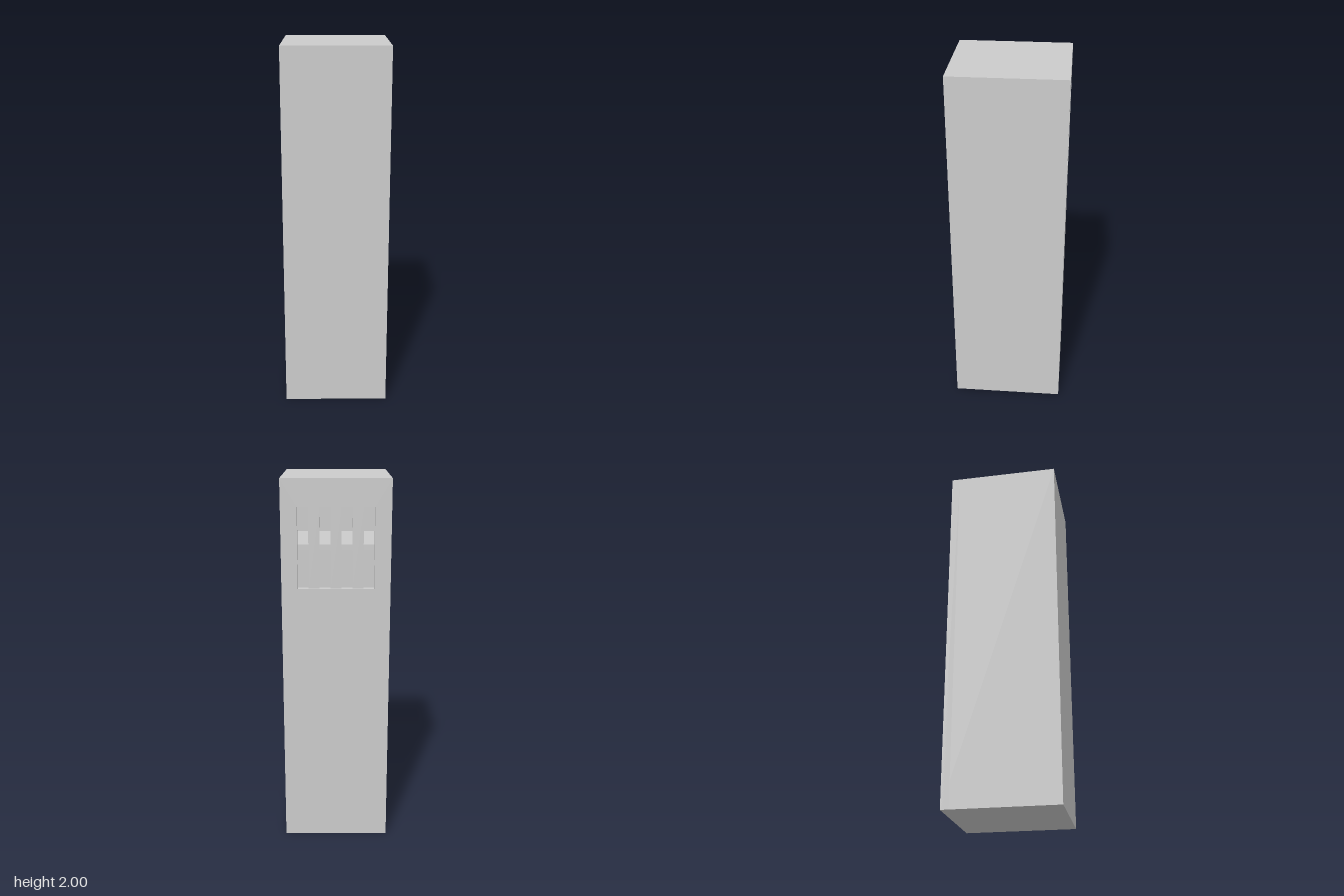
import * as THREE from 'three';

const W = 0.57, H = 2, D = 0.616; // outer size
const T = 0.045;                  // wall thickness
const WIN = { x: 0.2, y0: 1.432, y1: 1.858 };

const material = new THREE.MeshStandardMaterial({ color: 0xcccccc, flatShading: true });

function add(parent, name, geometry, x = 0, y = 0, z = 0) {
  const mesh = new THREE.Mesh(geometry, material);
  mesh.name = name;
  mesh.position.set(x, y, z);
  parent.add(mesh);
  return mesh;
}

// A box without its back (-z) face; inward turns the faces to the inside.
function openBox(w, h, d, inward) {
  const geometry = new THREE.BoxGeometry(w, h, d);
  const index = Array.from(geometry.index.array).slice(0, 30);
  geometry.clearGroups();
  geometry.setIndex(inward ? index.reverse() : index);
  geometry.computeVertexNormals();
  return geometry;
}

function rectangle(path, x0, y0, x1, y1) {
  path.moveTo(x0, y0);
  path.lineTo(x1, y0);
  path.lineTo(x1, y1);
  path.lineTo(x0, y1);
  path.closePath();
  return path;
}

export function createModel() {
  const model = new THREE.Group();
  model.name = 'barredCabinet';

  // Hollow housing: outer skin and inner lining
  add(model, 'outerWalls', openBox(W, H, D, false), 0, H / 2, 0);
  add(model, 'innerWalls', openBox(W - 2 * T, H - 2 * T, D - 2 * T, true), 0, H / 2, 0);

  // Back panel with the window opening
  const panel = rectangle(new THREE.Shape(), -W / 2, 0, W / 2, H);
  panel.holes.push(rectangle(new THREE.Path(), -WIN.x, WIN.y0, WIN.x, WIN.y1));
  add(model, 'backPanel',
    new THREE.ExtrudeGeometry(panel, { depth: T, bevelEnabled: false }), 0, 0, -D / 2);

  // Three flat bars; bars and gaps share the same width
  const bars = new THREE.Group();
  bars.name = 'windowBars';
  model.add(bars);
  const barWidth = 2 * WIN.x / 7;
  const barGeometry = new THREE.BoxGeometry(barWidth, WIN.y1 - WIN.y0, 0.015);
  for (let i = -1; i <= 1; i++) {
    add(bars, 'bar', barGeometry, i * 2 * barWidth, (WIN.y0 + WIN.y1) / 2, -D / 2 + T / 2);
  }

  // Shelf behind the window, set back from the bars
  const shelfBack = -D / 2 + 0.1, shelfFront = D / 2 - T;
  add(model, 'shelf', new THREE.BoxGeometry(W - 2 * T, 0.033, shelfFront - shelfBack),
    0, 1.634, (shelfBack + shelfFront) / 2);

  return model;
}
